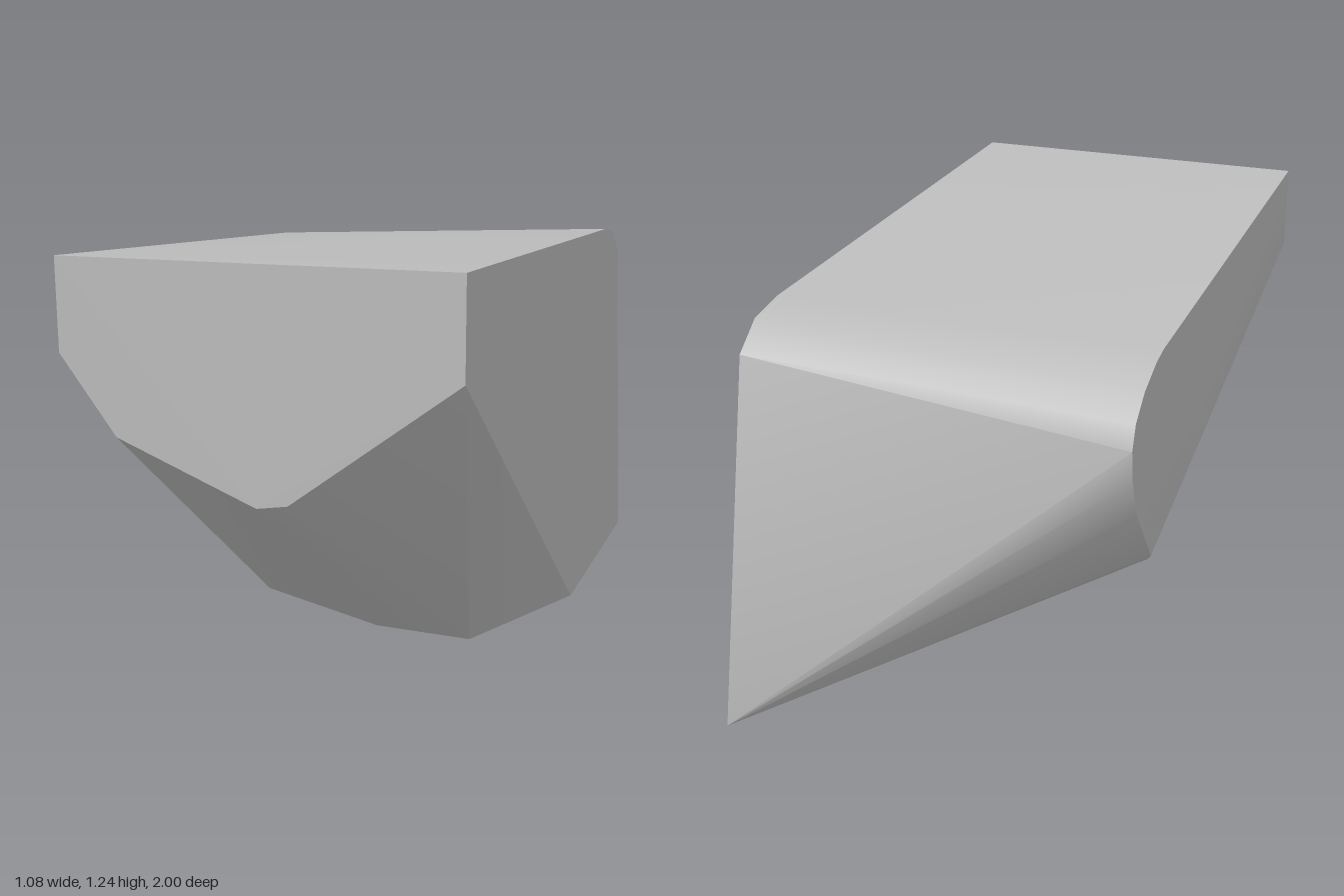
import * as THREE from 'three';
import { toCreasedNormals } from 'three/addons/utils/BufferGeometryUtils.js';
import { ConvexGeometry } from 'three/addons/geometries/ConvexGeometry.js';

export function createModel() {
  const model = new THREE.Group();
  model.name = 'facetedBlock';

  const stoneGrey = new THREE.MeshStandardMaterial({ color: 0xbcbcbc });
  stoneGrey.name = 'stoneGrey';

  const half = 0.54;

  // Flat front outline, as x, y at z = 1
  const front = [
    [-half, 1.22], [half, 1.235], [half, 0.97], [0.085, 0.625],
    [0, 0.61], [-0.385, 0.76], [-half, 0.97],
  ];
  // Rounded upper back edge and slanted back of the +x side, as y, z
  const plusSide = [
    [1.13, -0.58], [1.105, -0.70], [1.03, -0.79], [0, -1], [0, -0.22],
  ];
  // Rounded back edge of the -x side, as y, z
  const minusSide = [
    [1.08, -0.49], [1.065, -0.55], [1.02, -0.65], [0.96, -0.72],
    [0.895, -0.745], [0.81, -0.735], [0.695, -0.69], [0.51, -0.545],
  ];
  // Underside corners
  const underside = [[-0.31, 0.08, 0.23], [0.04, 0, 0.22], [0.335, 0, 0.23]];

  const points = [
    ...front.map(([x, y]) => new THREE.Vector3(x, y, 1)),
    ...plusSide.map(([y, z]) => new THREE.Vector3(half, y, z)),
    ...minusSide.map(([y, z]) => new THREE.Vector3(-half, y, z)),
    ...underside.map((p) => new THREE.Vector3(...p)),
  ];

  // Convex block, smooth across the rounded edge and sharp elsewhere
  const geometry = toCreasedNormals(new ConvexGeometry(points), THREE.MathUtils.degToRad(30));
  const block = new THREE.Mesh(geometry, stoneGrey);
  block.name = 'block';
  model.add(block);
  return model;
}
